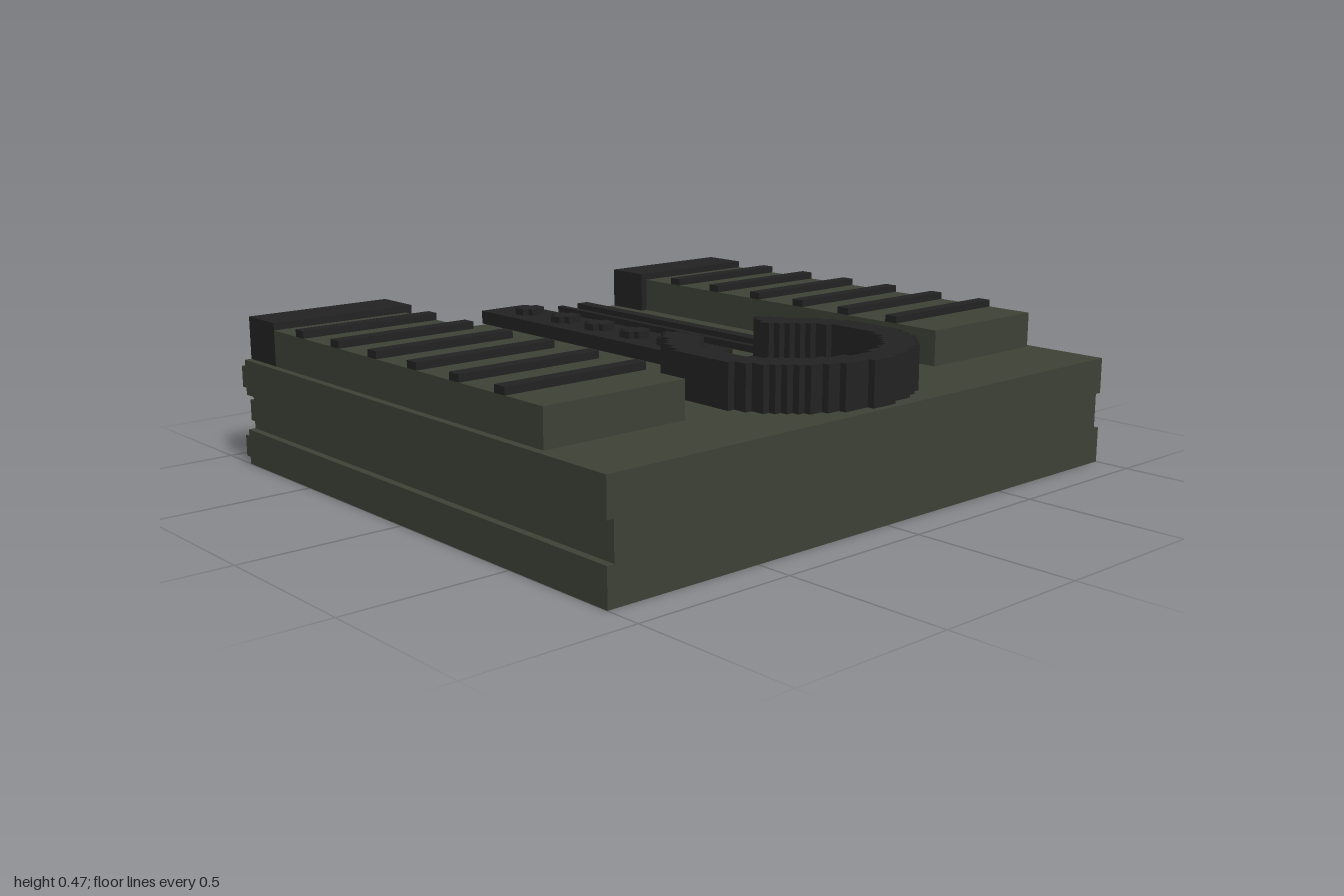
import * as THREE from 'three';
import { mergeGeometries } from 'three/addons/utils/BufferGeometryUtils.js';

const U = 2 / 90; // one block unit; all sizes below are in block units

// Box from minimum and maximum corners
function block(x0, x1, y0, y1, z0, z1) {
  const g = new THREE.BoxGeometry((x1 - x0) * U, (y1 - y0) * U, (z1 - z0) * U);
  return g.translate((x0 + x1) / 2 * U, (y0 + y1) / 2 * U, (z0 + z1) / 2 * U);
}

export function createModel() {
  const group = new THREE.Group();
  const green = new THREE.MeshStandardMaterial({ color: 0x3c4135 });
  green.name = 'dark olive green';
  const black = new THREE.MeshStandardMaterial({ color: 0x222222 });
  black.name = 'charcoal';

  const add = (name, material, ...geometries) => {
    const mesh = new THREE.Mesh(geometries.length > 1 ? mergeGeometries(geometries) : geometries[0], material);
    mesh.name = name;
    group.add(mesh);
  };

  // Base slab with a groove along each side
  add('baseLower', green, block(-45, 45, 0, 5, -39, 40));
  add('baseGroove', green, block(-44, 44, 5, 10, -39, 40));
  add('baseUpper', green, block(-45, 45, 10, 15, -39, 40));

  // Ridges across the back
  [1, 6, 11].forEach((y) => {
    const w = y === 6 ? 44 : 45;
    add('backRidge', green, block(-w, w, y, y + 3, -40, -39));
  });

  for (const s of [-1, 1]) {
    const side = s > 0 ? 'left' : 'right';
    const mirrored = (a, b, ...rest) => block(Math.min(s * a, s * b), Math.max(s * a, s * b), ...rest);

    // Raised side platform, its end cap and crossbars
    add(side + 'Platform', green, mirrored(23, 44, 15, 20, -32, 28));
    add(side + 'EndCap', black, mirrored(22, 44, 15, 21, -39, -32));
    for (let i = 0; i < 6; i++) {
      const z = -26 + i * 9;
      add(side + 'Crossbar', black, mirrored(23, 44, 20, 21, z, z + 2));
    }

    // Thin rails beside the centre strip
    add(side + 'OuterRail', black, mirrored(15, 17, 15, 16, -40, 8));
    add(side + 'InnerRail', black, mirrored(11, 12, 15, 16, -40, 8));
  }

  // Centre strip with studs
  add('centreStrip', black, block(-4, 4, 15, 17, -40, 8));
  [-33, -24, -16, -8, 0].forEach((z) => {
    add('stud', black,
      block(-2, 2, 17, 18, z - 1, z + 1),
      block(-1, 1, 17, 18, z - 2, z - 1),
      block(-1, 1, 17, 18, z + 1, z + 2));
  });

  // Stepped ring, open towards the back
  const inRing = (x, z) => {
    const r = Math.hypot(x * 0.965, z);
    if (z < 0 && Math.abs(x) < -z * 0.55) return false;
    return r > 11.7 && r < (z < -12 ? 16.7 : 15.65);
  };
  const rows = [];
  for (let z = -15; z < 16; z++) {
    let start = null;
    for (let x = -18; x <= 18; x++) {
      const solid = inRing(x + 0.5, z + 0.5);
      if (solid && start === null) start = x;
      if (!solid && start !== null) {
        rows.push(block(start, x, 15, 21, z + 23, z + 24));
        start = null;
      }
    }
  }
  add('openRing', black, ...rows);

  return group;
}
